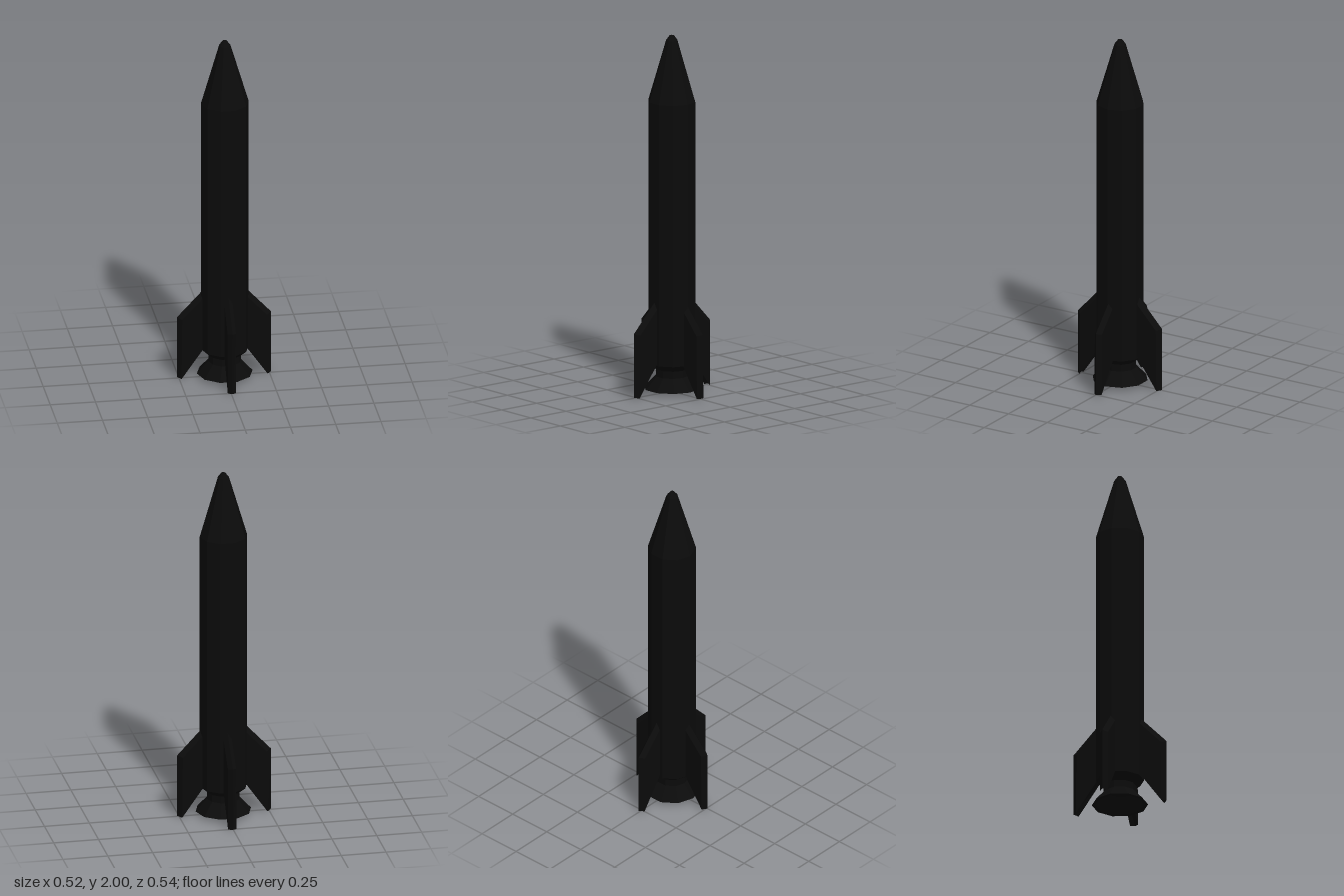
import * as THREE from 'three';

const material = new THREE.MeshStandardMaterial({ color: 0x0b0b0b, flatShading: true });

// Ten-sided turned part; the profile of [radius, y] runs so its outside faces out
function turned(name, profile) {
  const points = profile.map(([r, y]) => new THREE.Vector2(r, y));
  const mesh = new THREE.Mesh(new THREE.LatheGeometry(points, 10, Math.PI / 2), material);
  mesh.name = name;
  mesh.position.x = 0.003;
  return mesh;
}

// Fin pointing along +x: five-sided cross-sections from top to bottom,
// each with a sharp outer ridge, two shoulders and two roots inside the body
function finGeometry() {
  const t = 0.023;
  const sections = [
    { ridge: [0.1, 0.532], shoulder: [0.1, 0.495], root: [0.09, 0.495] },
    { ridge: [0.261, 0.36], shoulder: [0.234, 0.352], root: [0.09, 0.352] },
    { ridge: [0.261, 0.005], shoulder: [0.238, 0], root: [0.09, 0.21] },
  ];
  const positions = [];
  for (const { ridge, shoulder, root } of sections) {
    positions.push(...ridge, 0, ...shoulder, t, ...root, t, ...root, -t, ...shoulder, -t);
  }
  const index = [];
  for (let i = 0; i < sections.length - 1; i++) {
    for (let j = 0; j < 5; j++) {
      const a = i * 5 + j, b = i * 5 + ((j + 1) % 5);
      index.push(a, b, b + 5, a, b + 5, a + 5);
    }
  }
  // Top and bottom caps
  const last = (sections.length - 1) * 5;
  for (let j = 1; j < 4; j++) {
    index.push(0, j + 1, j, last, last + j, last + j + 1);
  }
  const geometry = new THREE.BufferGeometry();
  geometry.setAttribute('position', new THREE.Float32BufferAttribute(positions, 3));
  geometry.setIndex(index);
  geometry.computeVertexNormals();
  return geometry;
}

export function createModel() {
  const rocket = new THREE.Group();
  rocket.name = 'rocket';

  rocket.add(turned('body', [[0, 0.13], [0.09, 0.13], [0.132, 0.165], [0.132, 1.63]]));
  rocket.add(turned('noseCone', [[0.132, 1.63], [0.032, 1.97], [0.012, 1.997], [0, 2]]));

  // Hollow bell: inside first, then over the rim and up to the neck
  rocket.add(turned('engineNozzle', [
    [0, 0.1], [0.072, 0.1], [0.135, 0.02], [0.154, 0.02], [0.09, 0.09], [0.09, 0.14],
  ]));

  // Four fins, the front and back pair set slightly further out
  const geometry = finGeometry();
  const places = [
    ['leftFin', 0, 0, -0.005],
    ['backFin', 1, 0.0045, -0.011],
    ['rightFin', 2, 0, -0.005],
    ['frontFin', 3, 0.0045, 0.011],
  ];
  for (const [name, turn, x, z] of places) {
    const fin = new THREE.Mesh(geometry, material);
    fin.name = name;
    fin.rotation.y = (turn * Math.PI) / 2;
    fin.position.set(x, 0, z);
    rocket.add(fin);
  }
  return rocket;
}
